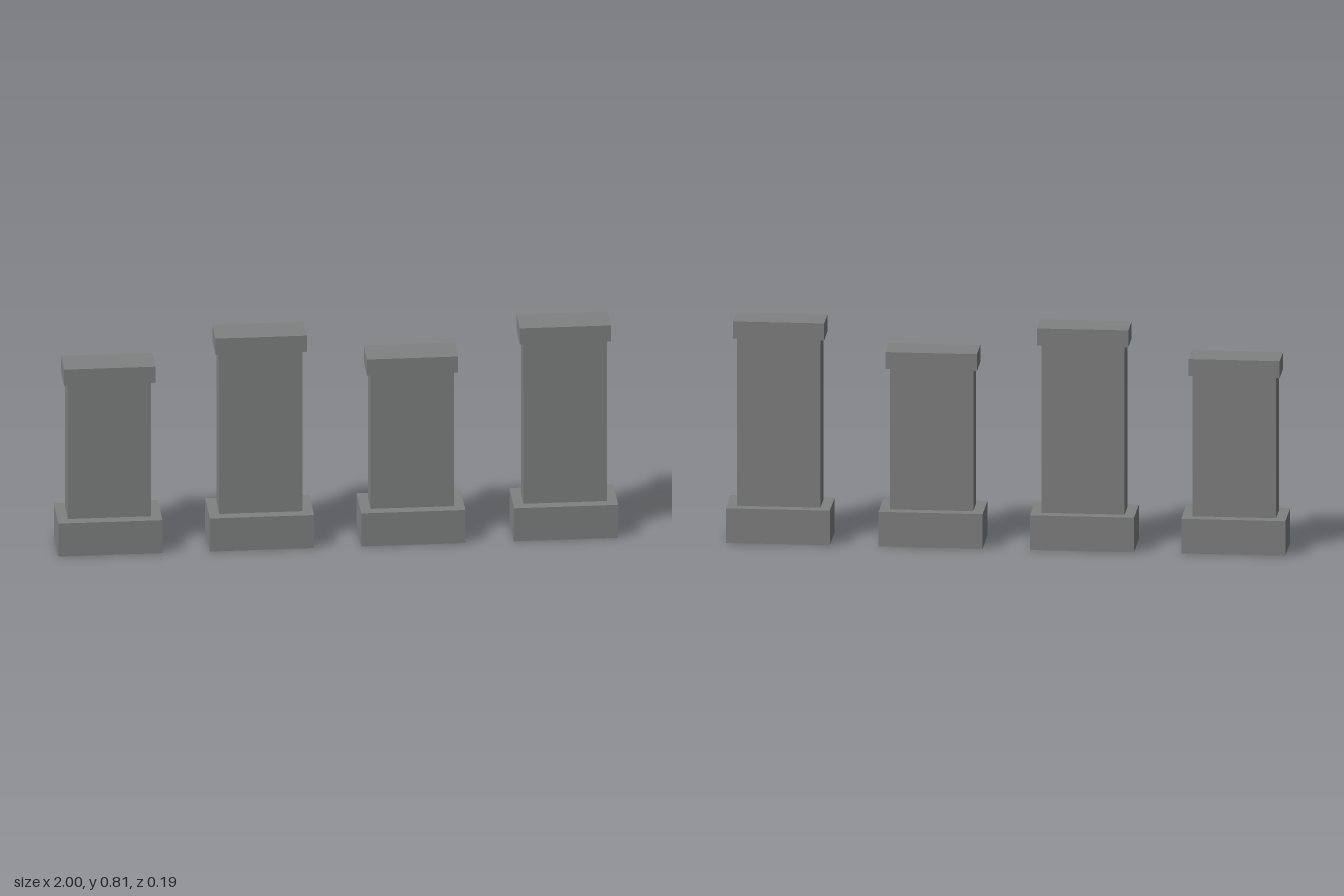
import * as THREE from 'three';

export function createModel() {
  const model = new THREE.Group();
  model.name = 'pillars';
  const stone = new THREE.MeshStandardMaterial({ color: 0x808281 });
  stone.name = 'grey stone';

  // A block standing on height y
  function block(name, width, height, depth, y) {
    const mesh = new THREE.Mesh(new THREE.BoxGeometry(width, height, depth), stone);
    mesh.name = name;
    mesh.position.y = y + height / 2;
    return mesh;
  }

  const baseTop = 0.127;
  const capHeight = 0.062;

  // Plinth, shaft and cap of one pillar
  function pillar(x, height) {
    const group = new THREE.Group();
    group.name = 'pillar';
    group.position.x = x;
    const capBottom = height - capHeight;
    group.add(
      block('base', 0.372, baseTop, 0.19, 0),
      block('shaft', 0.298, capBottom - baseTop, 0.11, baseTop),
      block('cap', 0.326, capHeight, 0.131, capBottom),
    );
    return group;
  }

  // Short and tall pillars alternate along the row
  [-0.814, -0.273, 0.268, 0.814].forEach((x, i) => {
    model.add(pillar(x, i % 2 ? 0.807 : 0.707));
  });
  return model;
}
